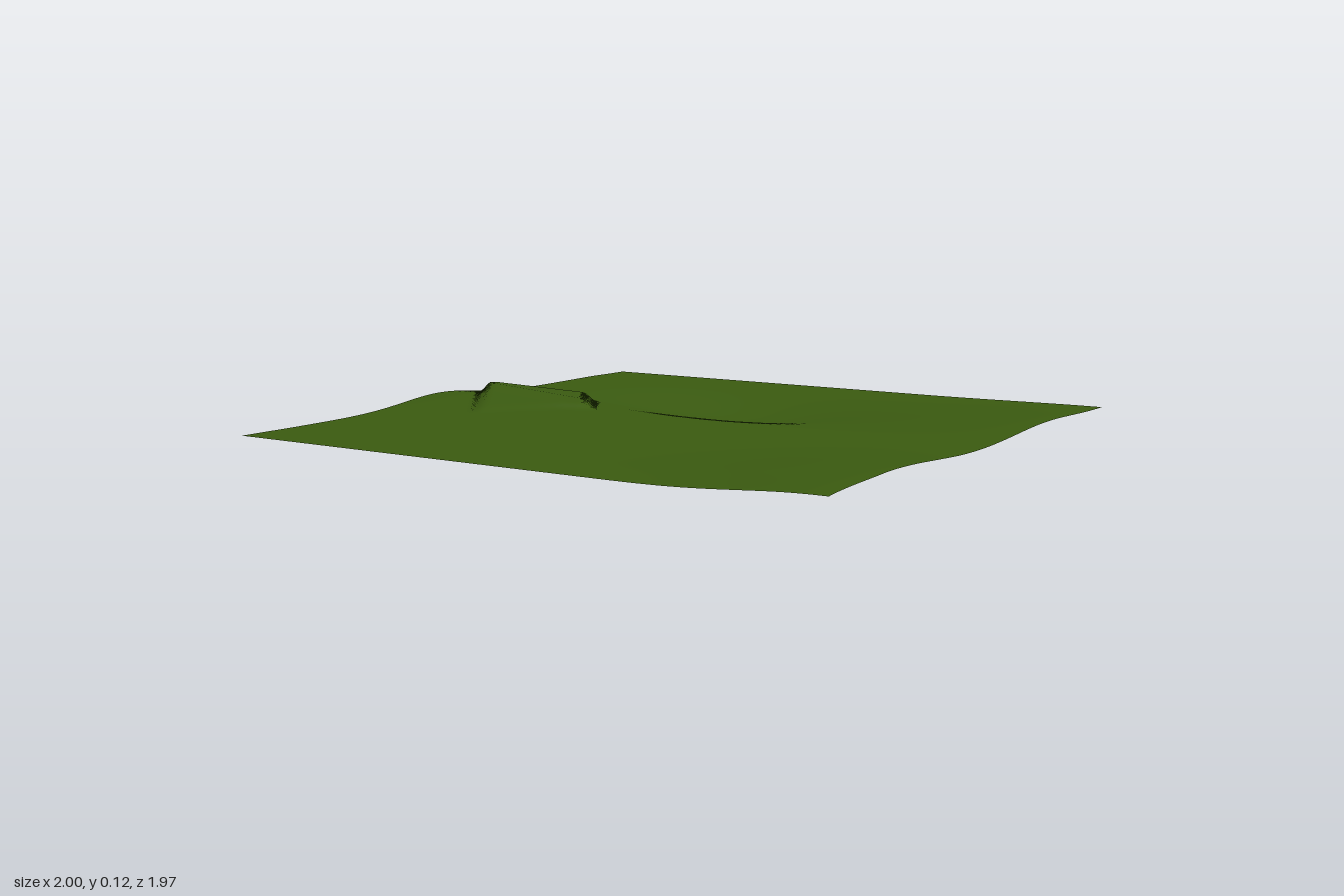
import * as THREE from 'three';

// Soft swells and hollows: centre x, centre z, height, spread x, spread z
const SWELLS = [
  [0.98, 0.70, 0.045, 0.32, 0.27],   // hill at the front left corner
  [0.98, -0.45, 0.018, 0.30, 0.24],  // low ridge on the left edge
  [-0.10, -0.43, -0.052, 0.32, 0.21], // hollow at the back
  [-0.82, 0.10, 0.038, 0.36, 0.18],  // rise under the plateau
  [-0.12, 0.22, 0.016, 0.30, 0.20],  // gentle middle ridge
];

const smooth = THREE.MathUtils.smoothstep;

// Mask of the turned rectangular plateau: 1 inside, 0 outside
function plateauMask(x, z) {
  const dx = x + 0.625, dz = z - 0.05;
  const along = dx * 0.58 + dz * 0.81;
  const across = -dx * 0.81 + dz * 0.58;
  const a = 1 - smooth(Math.abs(along), 0.18, 0.235);
  const b = 1 - smooth(Math.abs(across), 0.155, 0.20);
  return a * b;
}

function groundHeight(x, z) {
  let y = 0.049;
  for (const [cx, cz, h, sx, sz] of SWELLS) {
    y += h * Math.exp(-0.5 * (((x - cx) / sx) ** 2 + ((z - cz) / sz) ** 2));
  }
  // Settle towards the level front and back edges, away from the corner hill
  const edge = smooth(Math.abs(z), 0.75, 0.985) * (1 - smooth(x, 0.3, 0.9));
  y = THREE.MathUtils.lerp(y, z > 0 ? 0.05 : 0.046, edge);
  // Nearly flat plateau top, falling a little towards its corners
  const top = 0.118 - 0.07 * (x + 0.75)
    - 0.12 * Math.max(0, 0.05 - z) - 0.2 * Math.max(0, z - 0.15);
  return THREE.MathUtils.lerp(y, Math.max(y, top), plateauMask(x, z));
}

export function createModel() {
  const group = new THREE.Group();
  group.name = 'terrain';

  // Ground sheet, raised by the height rule
  const geometry = new THREE.PlaneGeometry(1.968, 1.97, 140, 140);
  geometry.rotateX(-Math.PI / 2);
  geometry.translate(-0.016, 0, 0);
  const p = geometry.attributes.position;
  for (let i = 0; i < p.count; i++) {
    const x = p.getX(i), z = p.getZ(i);
    // The left edge bulges outward beside the corner hill
    const bulge = 0.03 * smooth(x, 0.6, 0.97)
      * smooth(z, 0.25, 0.65) * (1 - 0.7 * smooth(z, 0.75, 0.985));
    p.setXYZ(i, x + bulge, groundHeight(x, z), z);
  }
  geometry.computeVertexNormals();
  geometry.computeBoundingBox();
  geometry.translate(0, -geometry.boundingBox.min.y, 0);

  const ground = new THREE.Mesh(geometry, new THREE.MeshStandardMaterial({
    color: 0x3a5a10, side: THREE.DoubleSide,
  }));
  ground.name = 'grassGround';
  group.add(ground);
  return group;
}
